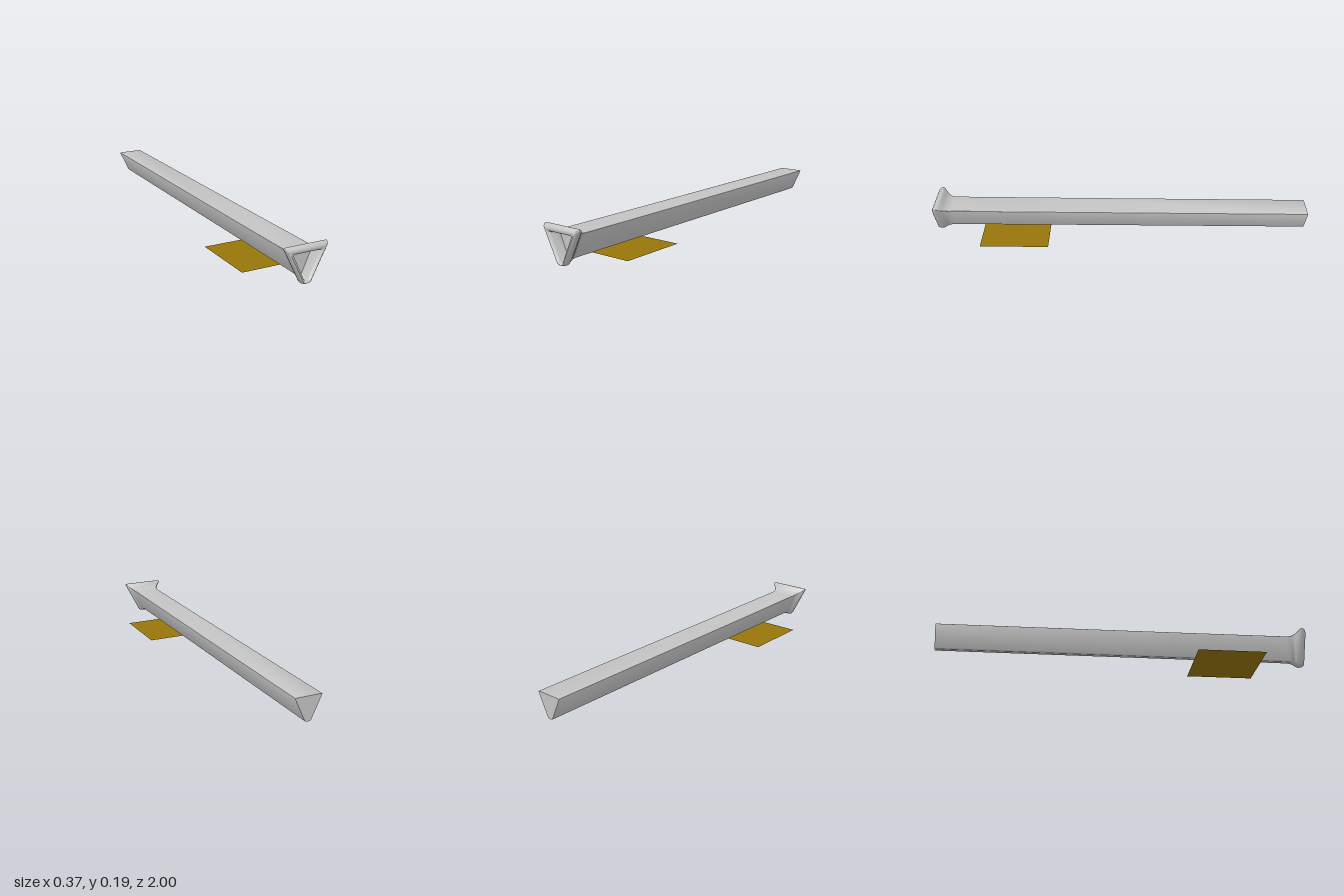
import * as THREE from 'three';
import { toCreasedNormals } from 'three/addons/utils/BufferGeometryUtils.js';

// Rounded trapezoid outline, counter-clockwise seen from the front
function outline([z, topHalf, topY, bottomHalf, bottomY, round]) {
  const corners = [
    [topHalf, topY], [-topHalf, topY], [-bottomHalf, bottomY], [bottomHalf, bottomY],
  ].map(([x, y]) => new THREE.Vector2(x, y));
  const points = [];
  corners.forEach((c, i) => {
    const toward = (other) => {
      const d = other.clone().sub(c);
      return c.clone().add(d.setLength(Math.min(round, d.length() * 0.45)));
    };
    const curve = new THREE.QuadraticBezierCurve(
      toward(corners[(i + 3) % 4]), c, toward(corners[(i + 1) % 4]));
    for (const p of curve.getPoints(6)) points.push([p.x, p.y, z]);
  });
  return points;
}

// Skin over successive outlines, closed at both ends
function loft(sections) {
  const rings = sections.map(outline);
  const n = rings[0].length;
  const positions = rings.flat(2);
  const index = [];
  for (let r = 0; r < rings.length - 1; r++) {
    for (let i = 0; i < n; i++) {
      const j = (i + 1) % n;
      const a = r * n, b = a + n;
      index.push(a + i, a + j, b + j, a + i, b + j, b + i);
    }
  }
  const addCap = (r, flip) => {
    const s = sections[r];
    const centre = positions.length / 3;
    positions.push(0, s[2] * 0.6 + s[4] * 0.4, s[0]);
    for (let i = 0; i < n; i++) {
      const a = r * n + i, b = r * n + (i + 1) % n;
      if (flip) index.push(b, a, centre);
      else index.push(a, b, centre);
    }
  };
  addCap(0, true);
  addCap(rings.length - 1, false);
  const geometry = new THREE.BufferGeometry();
  geometry.setAttribute('position', new THREE.Float32BufferAttribute(positions, 3));
  geometry.setIndex(index);
  return toCreasedNormals(geometry, 0.75);
}

export function createModel() {
  const model = new THREE.Group();
  const grey = new THREE.MeshStandardMaterial({ color: 0xc4c4c4 });
  grey.name = 'light grey';
  const gold = new THREE.MeshStandardMaterial({ color: 0x967509, side: THREE.DoubleSide });
  gold.name = 'dark gold';

  // Columns: z, top half width, top y, bottom half width, bottom y, rounding
  const shaft = new THREE.Mesh(loft([
    [-1, 0.071, 0.148, 0.014, 0.026, 0.006],
    [0.25, 0.072, 0.15, 0.014, 0.026, 0.006],
    [0.9, 0.073, 0.152, 0.014, 0.025, 0.006],
    // flare
    [0.92, 0.076, 0.154, 0.014, 0.024, 0.007],
    [0.94, 0.085, 0.162, 0.016, 0.02, 0.008],
    [0.955, 0.1, 0.173, 0.019, 0.012, 0.01],
    [0.965, 0.112, 0.183, 0.022, 0.006, 0.011],
    // rounded lip
    [0.975, 0.117, 0.188, 0.023, 0.004, 0.012],
    [0.985, 0.115, 0.186, 0.022, 0.004, 0.012],
    [0.995, 0.107, 0.179, 0.02, 0.006, 0.011],
    [1, 0.097, 0.171, 0.016, 0.009, 0.01],
    [0.999, 0.087, 0.163, 0.013, 0.013, 0.009],
    [0.995, 0.077, 0.156, 0.011, 0.018, 0.008],
    [0.985, 0.071, 0.153, 0.009, 0.021, 0.007],
    // recess floor
    [0.94, 0.056, 0.138, 0.008, 0.029, 0.006],
  ]), grey);
  shaft.name = 'flaredTriangularShaft';
  model.add(shaft);

  // Flat square sheet lying on the ground
  const sheet = new THREE.Mesh(new THREE.PlaneGeometry(0.365, 0.365).rotateX(-Math.PI / 2), gold);
  sheet.name = 'groundSheet';
  sheet.position.set(-0.002, 0, 0.566);
  model.add(sheet);
  return model;
}
